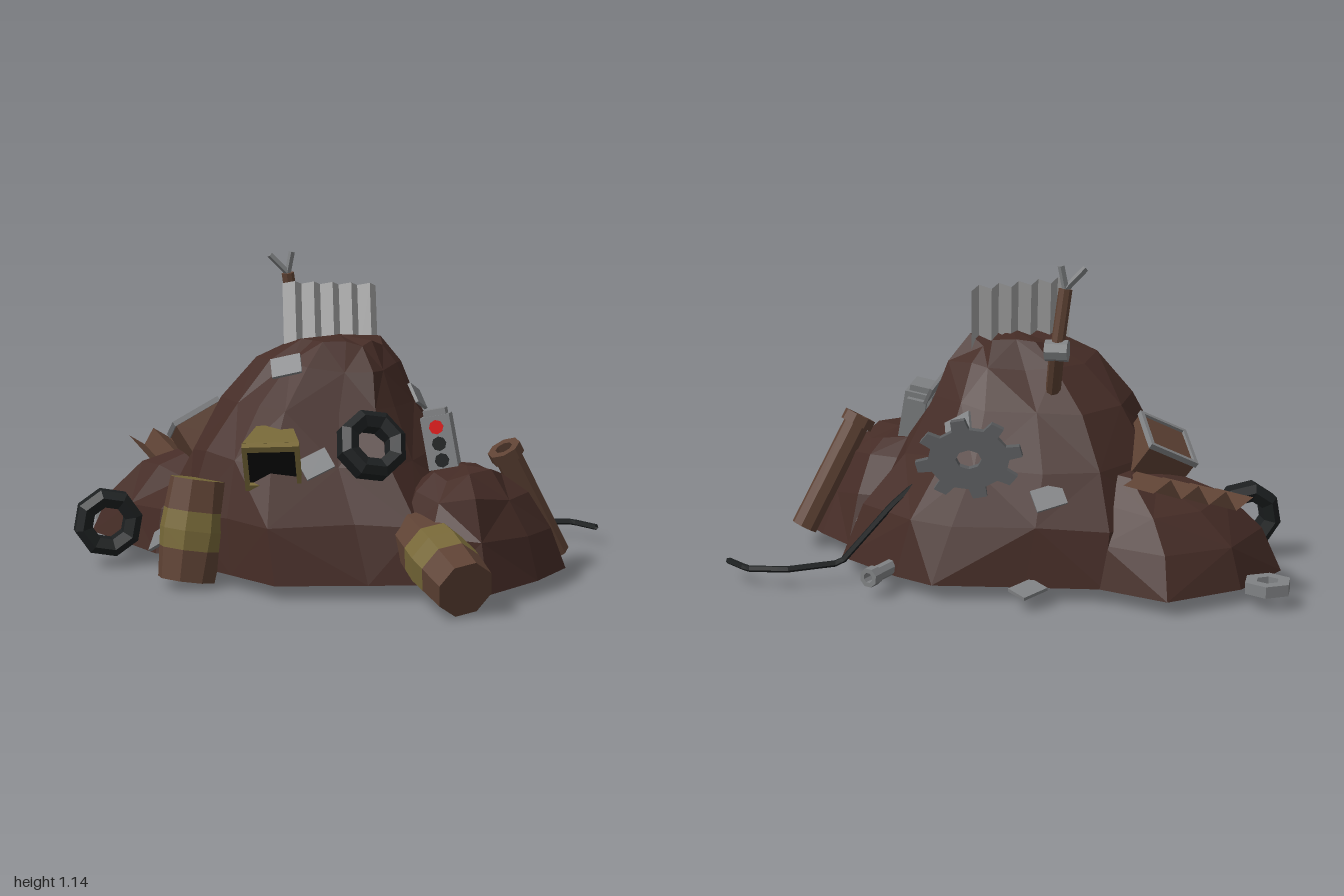
import * as THREE from 'three';

const V = (x, y, z) => new THREE.Vector3(x, y, z);
const mat = (color) => new THREE.MeshStandardMaterial({ color, flatShading: true, side: THREE.DoubleSide });
const lathe = (pts, sides) => new THREE.LatheGeometry(pts.map(([x, y]) => new THREE.Vector2(x, y)), sides);

export function createModel() {
  const root = new THREE.Group();
  const dirt = mat(0x452c26), wood = mat(0x5e4234), yellow = mat(0x776838), grey = mat(0x808284),
    light = mat(0xa2a2a2), steel = mat(0x5c5e60), rubber = mat(0x1c1f20), black = mat(0x0a0a0a), red = mat(0xdd1111);

  let seed = 7;
  const rand = () => ((seed = (seed * 16807) % 2147483647) / 2147483647);

  const add = (name, geo, material, parent = root) => {
    const m = new THREE.Mesh(geo, material);
    m.name = name;
    parent.add(m);
    return m;
  };
  const group = (name) => {
    const g = new THREE.Group();
    g.name = name;
    root.add(g);
    return g;
  };
  // places an object with its y axis running from a to b
  const span = (o, a, b) => {
    o.position.copy(a).lerp(b, 0.5);
    o.quaternion.setFromUnitVectors(V(0, 1, 0), b.clone().sub(a).normalize());
    return o;
  };
  // places an object with its z axis along n, rolled by spin
  const face = (o, p, n, spin = 0) => {
    o.position.copy(p);
    o.lookAt(p.clone().add(n));
    o.rotateZ(spin);
    return o;
  };
  const rod = (name, a, b, r, material, sides = 8) =>
    span(add(name, new THREE.CylinderGeometry(r, r, a.distanceTo(b), sides), material), a, b);

  // Earth mounds: ground outline [x, z] shrunk upwards through levels [y, centreX, centreZ, scaleX, scaleZ], open underneath
  function mound(name, outline, levels) {
    const n = outline.length, [, ox, oz] = levels[0];
    const rows = levels.map(([y, cx, cz, sx, sz], k) => outline.map(([x, z]) => {
      const j = k ? 0.95 + rand() * 0.1 : 1;
      return V(cx + (x - ox) * sx * j, y + (k ? (rand() - 0.5) * 0.04 : 0), cz + (z - oz) * sz * j);
    }));
    const pts = [], last = rows[rows.length - 1];
    for (let k = 0; k + 1 < rows.length; k++) for (let i = 0; i < n; i++) {
      const j = (i + 1) % n, b = rows[k], t = rows[k + 1];
      if ((k + i) % 2) pts.push(b[i], t[j], b[j], b[i], t[i], t[j]);
      else pts.push(b[i], t[i], b[j], b[j], t[i], t[j]);
    }
    const top = last.reduce((s, p) => s.add(p), V(0, 0, 0)).divideScalar(n);
    top.y += 0.02;
    for (let i = 0; i < n; i++) pts.push(last[i], top, last[(i + 1) % n]);
    const geo = new THREE.BufferGeometry().setFromPoints(pts);
    geo.computeVertexNormals();
    add(name, geo, dirt);
  }
  mound('mainMound', [
    [0.64, -0.1], [0.55, 0.2], [0.45, 0.38], [0.22, 0.42], [-0.1, 0.48], [-0.28, 0.36], [-0.45, 0.25],
    [-0.6, 0.08], [-0.55, -0.25], [-0.37, -0.54], [-0.1, -0.57], [0.22, -0.61], [0.37, -0.53], [0.62, -0.34],
  ], [[0.055, 0.06, -0.065, 1, 1], [0.25, 0.02, -0.065, 0.92, 0.92], [0.45, -0.02, -0.07, 0.74, 0.76],
    [0.63, -0.01, -0.08, 0.57, 0.56], [0.77, 0.025, -0.065, 0.41, 0.38], [0.84, 0.045, -0.075, 0.26, 0.25]]);
  mound('rightMound', [
    [-0.15, -0.3], [-0.2, 0], [-0.4, 0.15], [-0.62, 0.1], [-0.8, -0.07], [-0.95, -0.2], [-0.83, -0.45], [-0.6, -0.64], [-0.35, -0.54],
  ], [[0.055, -0.55, -0.22, 1, 1], [0.2, -0.54, -0.22, 0.87, 0.87], [0.32, -0.5, -0.24, 0.62, 0.62], [0.41, -0.42, -0.24, 0.35, 0.35]]);
  mound('leftMound', [
    [0.89, 0.07], [0.8, 0.26], [0.64, 0.48], [0.45, 0.42], [0.32, 0.3], [0.28, 0], [0.4, -0.18], [0.64, -0.19], [0.78, -0.06],
  ], [[0.055, 0.6, 0.1, 1, 1], [0.22, 0.58, 0.13, 0.9, 0.88], [0.36, 0.56, 0.15, 0.7, 0.7], [0.42, 0.54, 0.14, 0.42, 0.42]]);

  // Tyres: closed profile turned in eight steps
  function tyre(p, n) {
    const geo = lathe([[0.062, -0.032], [0.1, -0.05], [0.128, -0.028], [0.128, 0.028], [0.1, 0.05], [0.062, 0.032], [0.062, -0.032]], 8);
    face(add('tyre', geo.rotateX(Math.PI / 2), rubber), p, n, 0.2);
  }
  tyre(V(0.21, 0.525, 0.28), V(0.45, 0.5, 0.74));
  tyre(V(-0.8, 0.168, 0.1), V(0.38, 0.05, 0.92));

  // Barrels: wooden ends, a yellow middle band and a yellow lid at b
  function barrel(a, b) {
    const g = group('barrel'), h = a.distanceTo(b) / 2, s = h * 0.38;
    add('barrelBand', lathe([[0.114, -s], [0.12, 0], [0.114, s]], 8), yellow, g);
    add('barrelBottom', lathe([[0, -h], [0.104, -h], [0.114, -s]], 8), wood, g);
    add('barrelTop', lathe([[0.114, s], [0.104, h]], 8), wood, g);
    add('barrelLid', lathe([[0.104, h], [0, h]], 8), yellow, g);
    span(g, a, b);
  }
  barrel(V(-0.45, 0.025, 0.33), V(-0.415, 0.38, 0.262));
  barrel(V(0.575, 0.108, 0.61), V(0.38, 0.21, 0.29));

  // Old television: tapered shell, frame and recessed dark screen, tipped forward
  const tv = group('television');
  const shell = new THREE.CylinderGeometry(0.142, 0.09, 0.16, 4).rotateY(Math.PI / 4).rotateX(Math.PI / 2).scale(1, 0.92, 1);
  add('televisionShell', shell, yellow, tv);
  const rect = (w, h) => [[-w, -h], [w, -h], [w, h], [-w, h]].map(([x, y]) => new THREE.Vector2(x, y));
  const frame = new THREE.Shape(rect(0.1, 0.092));
  frame.holes.push(new THREE.Path(rect(0.084, 0.07)));
  add('televisionFrame', new THREE.ExtrudeGeometry(frame, { depth: 0.03, bevelEnabled: false }), yellow, tv).position.z = 0.075;
  add('televisionScreen', new THREE.BoxGeometry(0.168, 0.14, 0.008), black, tv).position.z = 0.082;
  face(tv, V(-0.137, 0.492, 0.283), V(0.1, -0.4, 0.92), 0.04);

  // Control box with one lit and two dark buttons
  const box = group('controlBox');
  add('controlBoxBody', new THREE.BoxGeometry(0.105, 0.19, 0.13), grey, box);
  add('controlBoxCap', new THREE.BoxGeometry(0.08, 0.025, 0.1), grey, box).position.y = 0.105;
  add('controlBoxBack', new THREE.BoxGeometry(0.075, 0.15, 0.025), grey, box).position.z = -0.075;
  [red, rubber, rubber].forEach((m, i) =>
    add('button', new THREE.CylinderGeometry(0.026, 0.026, 0.008, 8).rotateX(Math.PI / 2), m, box).position.set(0, 0.055 - i * 0.06, 0.065));
  face(box, V(0.435, 0.51, 0.085), V(0, 0.12, 1), 0.2);

  // Corrugated sheets: a zigzag strip from corner p along u, swept by v
  function corrugated(name, p, u, v, folds, amp, material) {
    const n = u.clone().cross(v).normalize(), pts = [];
    const at = (i, t) => p.clone().addScaledVector(u, i / folds).addScaledVector(v, t).addScaledVector(n, i % 2 ? amp : -amp);
    for (let i = 0; i < folds; i++) pts.push(at(i, 0), at(i + 1, 0), at(i + 1, 1), at(i, 0), at(i + 1, 1), at(i, 1));
    const geo = new THREE.BufferGeometry().setFromPoints(pts);
    geo.computeVertexNormals();
    add(name, geo, material);
  }
  corrugated('metalSheet', V(-0.145, 0.82, 0.0), V(0.325, -0.02, -0.16), V(-0.02, 0.235, -0.08), 10, 0.02, light);
  corrugated('rustySheet', V(-0.86, 0.36, -0.47), V(0.31, 0.09, -0.14), V(0.15, -0.04, 0.25), 7, 0.028, wood);

  // Broken post with a joint and forked tip
  const elbow = V(-0.175, 0.85, -0.38), tip = V(-0.2, 1.06, -0.355);
  rod('postLower', V(-0.14, 0.66, -0.27), elbow, 0.027, wood);
  rod('postUpper', elbow, tip, 0.024, wood);
  rod('postJoint', V(-0.215, 0.85, -0.38), V(-0.135, 0.85, -0.38), 0.038, grey);
  rod('postProng', tip, V(-0.265, 1.13, -0.33), 0.012, grey, 4);
  rod('postProng', tip, V(-0.185, 1.14, -0.36), 0.012, grey, 4);

  // Squashed gear on the back slope
  const gearShape = new THREE.Shape();
  for (let i = 0; i < 8; i++) [[0, 0.14], [0.1, 0.185], [0.44, 0.185], [0.54, 0.14]].forEach(([t, r], k) => {
    const a = (i + t) * Math.PI / 4;
    gearShape[i + k ? 'lineTo' : 'moveTo'](Math.cos(a) * r, Math.sin(a) * r);
  });
  gearShape.holes.push(new THREE.Path().absarc(0, 0, 0.045, 0, Math.PI * 2, true));
  const gearGeo = new THREE.ExtrudeGeometry(gearShape, { depth: 0.045, bevelEnabled: false, curveSegments: 4 });
  face(add('gear', gearGeo.translate(0, 0, -0.022).scale(1, 0.74, 1), steel), V(0.105, 0.49, -0.52), V(-0.17, 0.02, -0.98));

  // Hexagonal nut on the ground
  add('nut', lathe([[0.04, -0.02], [0.085, -0.02], [0.085, 0.02], [0.04, 0.02], [0.04, -0.02]], 6), grey).position.set(-0.92, 0.075, -0.45);

  // Pipes: hollow tube with a thicker rim
  function pipe(name, a, b, r, material) {
    const h = a.distanceTo(b) / 2, k = r * 1.25;
    const geo = lathe([[r * 0.65, -h], [r, -h], [r, h - 0.04], [k, h - 0.04], [k, h], [r * 0.65, h], [r * 0.65, -h]], 8);
    span(add(name, geo, material), a, b);
  }
  pipe('rustyPipe', V(0.85, 0.08, -0.065), V(0.66, 0.49, 0.07), 0.05, wood);
  pipe('greyPipe', V(0.36, 0.08, -0.4), V(0.44, 0.075, -0.63), 0.028, grey);

  // Loose cable, half buried in the back slope, then along the ground
  const cable = new THREE.CurvePath();
  const knots = [V(0.17, 0.67, -0.3), V(0.28, 0.4, -0.38), V(0.41, 0.28, -0.42), V(0.58, 0.08, -0.49), V(0.75, 0.07, -0.57), V(0.89, 0.07, -0.59), V(0.99, 0.07, -0.51)];
  for (let i = 1; i < knots.length; i++) cable.add(new THREE.LineCurve3(knots[i - 1], knots[i]));
  add('cable', new THREE.TubeGeometry(cable, 36, 0.012, 5), rubber);

  // Crate with metal edging on its outer face
  const crate = group('crate');
  add('crateBody', new THREE.BoxGeometry(0.19, 0.19, 0.2), wood, crate);
  for (let i = 0; i < 4; i++) {
    const edge = add('crateEdge', new THREE.BoxGeometry(0.2, 0.015, 0.02), grey, crate);
    edge.rotation.z = i * Math.PI / 2;
    edge.position.set(-Math.sin(i * Math.PI / 2) * 0.093, Math.cos(i * Math.PI / 2) * 0.093, 0.1);
  }
  face(crate, V(-0.485, 0.435, -0.19), V(-0.55, 0.78, -0.16), 0.75);

  // Scrap plates: position, outward normal, roll
  [[0.02, 0.46, 0.32, 0.1, 0.5, 0.8, 0.5], [-0.12, 0.775, 0.125, -0.1, 0.6, 0.7, 0.3],
    [-0.59, 0.13, 0.15, -0.75, 0.55, 0.4, 0.6], [0.33, 0.64, -0.1, 0.9, 0.5, 0, -0.45],
    [0.17, 0.57, -0.4, 0.5, 0.5, -0.7, 0.6], [0.62, 0.095, -0.19, 0.95, 0.3, -0.2, 0.9],
    [-0.17, 0.36, -0.5, -0.2, 0.6, -0.8, 0.3], [-0.12, 0.065, -0.62, -0.1, 0.95, -0.2, 0.5],
  ].forEach(([x, y, z, a, b, c, s]) =>
    face(add('scrapPlate', new THREE.BoxGeometry(0.11, 0.08, 0.012), grey), V(x, y, z), V(a, b, c), s));

  return root;
}
